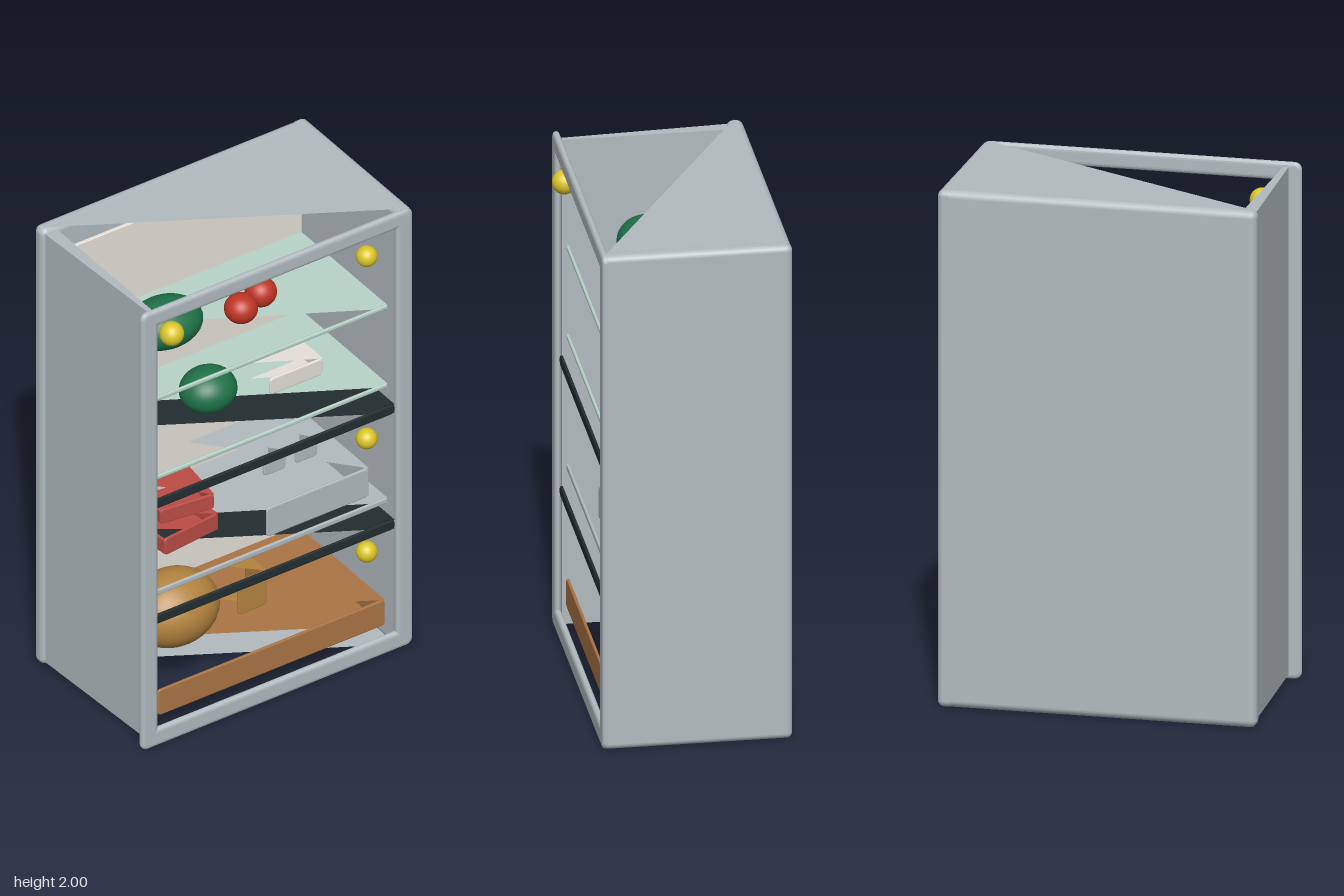
import * as THREE from 'three';
import { RoundedBoxGeometry } from 'three/addons/geometries/RoundedBoxGeometry.js';

const makeMaterial = (name, color) => {
  const m = new THREE.MeshStandardMaterial({ color, side: THREE.DoubleSide });
  m.name = name;
  return m;
};

// Rounded rectangle as a shape or a hole
const roundedRect = (Type, x0, x1, y0, y1, r) => {
  const p = new Type();
  p.absarc(x1 - r, y0 + r, r, -Math.PI / 2, 0);
  p.absarc(x1 - r, y1 - r, r, 0, Math.PI / 2);
  p.absarc(x0 + r, y1 - r, r, Math.PI / 2, Math.PI);
  p.absarc(x0 + r, y0 + r, r, Math.PI, Math.PI * 1.5);
  p.closePath();
  return p;
};

export function createModel() {
  const root = new THREE.Group();
  root.name = 'openCabinet';

  const grey = makeMaterial('grey shell', 0xb2bbbf);
  const liner = makeMaterial('pale liner', 0xe5e0d9);
  const glass = makeMaterial('shelf glass', 0xb8d4c9);
  const dark = makeMaterial('dark divider', 0x222d2f);
  const green = makeMaterial('green', 0x1f7248);
  const red = makeMaterial('red', 0xbf3526);
  const meat = makeMaterial('meat red', 0xbb4d45);
  const yellow = makeMaterial('yellow', 0xdcc62a);
  const tan = makeMaterial('tan', 0xb3833f);
  const wood = makeMaterial('tray brown', 0xab7545);

  const add = (name, geometry, material, parent = root) => {
    const mesh = new THREE.Mesh(geometry, material);
    mesh.name = name;
    parent.add(mesh);
    return mesh;
  };

  // Rounded box given by its extents
  const box = (name, material, [x0, x1], [y0, y1], [z0, z1], r, parent) => {
    const g = new RoundedBoxGeometry(x1 - x0, y1 - y0, z1 - z0, 3, r);
    g.translate((x0 + x1) / 2, (y0 + y1) / 2, (z0 + z1) / 2);
    return add(name, g, material, parent);
  };

  // Level triangle filling the back right half of a rectangle
  const halfSheet = (name, material, [x0, x1], y, [z0, z1], parent) => {
    const shape = new THREE.Shape([
      new THREE.Vector2(x0, -z0), new THREE.Vector2(x1, -z1), new THREE.Vector2(x1, -z0),
    ]);
    const g = new THREE.ShapeGeometry(shape);
    g.rotateX(-Math.PI / 2);
    g.translate(0, y, 0);
    return add(name, g, material, parent);
  };

  // Cut-away box: rounded front, right side, half a top and half a bottom
  const halfBox = (name, material, xs, ys, zs, turn = 0, leftSide = false) => {
    const group = new THREE.Group();
    group.name = name;
    const cx = (xs[0] + xs[1]) / 2, cz = (zs[0] + zs[1]) / 2;
    const x = xs.map(v => v - cx), z = zs.map(v => v - cz);
    const t = 0.012, b = 0.005;
    const r = Math.min(0.011, (ys[1] - ys[0]) / 2 - b - 0.001);
    const front = new THREE.ExtrudeGeometry(
      roundedRect(THREE.Shape, x[0] + b, x[1] - b, ys[0] + b, ys[1] - b, r),
      { depth: t - 2 * b, bevelSize: b, bevelThickness: b, bevelSegments: 2, curveSegments: 4 });
    front.translate(0, 0, z[1] - t + b);
    add(name + 'Front', front, material, group);
    const sideY = [ys[0] + r / 2, ys[1] - r / 2], sideZ = [z[0], z[1] - 0.004];
    box(name + 'Right', material, [x[1] - t, x[1]], sideY, sideZ, 0.004, group);
    if (leftSide) box(name + 'Left', material, [x[0], x[0] + t], sideY, sideZ, 0.004, group);
    halfSheet(name + 'Top', material, x, ys[1] - 0.001, z, group);
    halfSheet(name + 'Bottom', material, x, ys[0] + 0.001, z, group);
    group.position.set(cx, 0, cz);
    group.rotation.y = turn;
    root.add(group);
  };

  // Shell: back, right wall, half top and half bottom
  box('backWall', grey, [-0.613, 0.613], [0, 2], [-0.37, -0.305], 0.028);
  box('rightWall', grey, [0.545, 0.613], [0, 2], [-0.37, 0.347], 0.024);
  halfSheet('top', grey, [-0.6, 0.58], 1.999, [-0.335, 0.332]);
  halfSheet('bottom', grey, [-0.6, 0.58], 0.001, [-0.335, 0.332]);

  // Left wall, tapering towards the front
  const leftShape = new THREE.Shape([
    new THREE.Vector2(-0.6, 0.33), new THREE.Vector2(-0.565, -0.32),
    new THREE.Vector2(-0.545, -0.32), new THREE.Vector2(-0.545, 0.33),
  ]);
  const leftGeometry = new THREE.ExtrudeGeometry(leftShape, { depth: 1.965, bevelEnabled: false });
  leftGeometry.rotateX(-Math.PI / 2);
  leftGeometry.translate(0, 0.018, 0);
  add('leftWall', leftGeometry, grey);

  // Front frame with soft edges
  const frame = roundedRect(THREE.Shape, -0.596, 0.596, 0.017, 1.983, 0.012);
  frame.holes.push(roundedRect(THREE.Path, -0.556, 0.556, 0.061, 1.946, 0.004));
  const frameGeometry = new THREE.ExtrudeGeometry(frame, {
    depth: 0.003, bevelSize: 0.017, bevelThickness: 0.012, bevelSegments: 4, curveSegments: 5,
  });
  frameGeometry.translate(0, 0, 0.334);
  add('frontFrame', frameGeometry, grey);

  // Inner back panel
  box('backLiner', liner, [-0.53, 0.53], [0.09, 1.915], [-0.278, -0.262], 0.004);

  // Shelves and dividers
  for (const y of [1.556, 1.196]) halfBox('glassShelf', glass, [-0.525, 0.525], [y - 0.009, y + 0.009], [-0.272, 0.308]);
  halfBox('lowerShelf', grey, [-0.525, 0.525], [0.656, 0.68], [-0.272, 0.308]);
  for (const y of [1.095, 0.565]) halfBox('divider', dark, [-0.542, 0.542], [y - 0.021, y + 0.021], [-0.285, 0.33]);

  // Tray, drawer and small boxes
  halfBox('tray', wood, [-0.515, 0.511], [0.103, 0.219], [-0.27, 0.31]);
  halfBox('drawer', grey, [0.005, 0.467], [0.687, 0.818], [-0.25, 0.27]);
  for (const x of [0.151, 0.295]) halfBox('jar', grey, [x - 0.05, x + 0.05], [0.831, 0.916], [0.005, 0.109]);
  halfBox('paleBox', liner, [0.115, 0.356], [1.211, 1.284], [0, 0.13]);
  halfBox('tanBox', tan, [-0.015, 0.116], [0.241, 0.396], [-0.02, 0.11]);
  halfBox('lowerCut', meat, [-0.39, -0.128], [0.691, 0.766], [-0.08, 0.143], 0.1, true);
  halfBox('upperCut', meat, [-0.34, -0.112], [0.781, 0.847], [-0.1, 0.1], -0.12, true);

  // Round goods and lamps: material, centre, radii
  const balls = [
    ['largeLoaf', tan, [-0.258, 0.336, 0.032], [0.187, 0.15, 0.152]],
    ['largeGreens', green, [-0.293, 1.658, 0.032], [0.153, 0.093, 0.12]],
    ['smallGreens', green, [-0.121, 1.301, 0.066], [0.113, 0.087, 0.103]],
    ['redFruit', red, [0.016, 1.626, 0.083], [0.064, 0.058, 0.064]],
    ['redFruit', red, [0.136, 1.626, 0.038], [0.061, 0.058, 0.061]],
    ['lamp', yellow, [-0.463, 1.848, 0.324], [0.047, 0.047, 0.047]],
    ...[1.813, 0.976, 0.456].map(y => ['lamp', yellow, [0.442, y, 0.289], [0.041, 0.041, 0.041]]),
  ];
  for (const [name, material, centre, radii] of balls) {
    const mesh = add(name, new THREE.SphereGeometry(1, 32, 20), material);
    mesh.position.set(...centre);
    mesh.scale.set(...radii);
  }

  return root;
}
